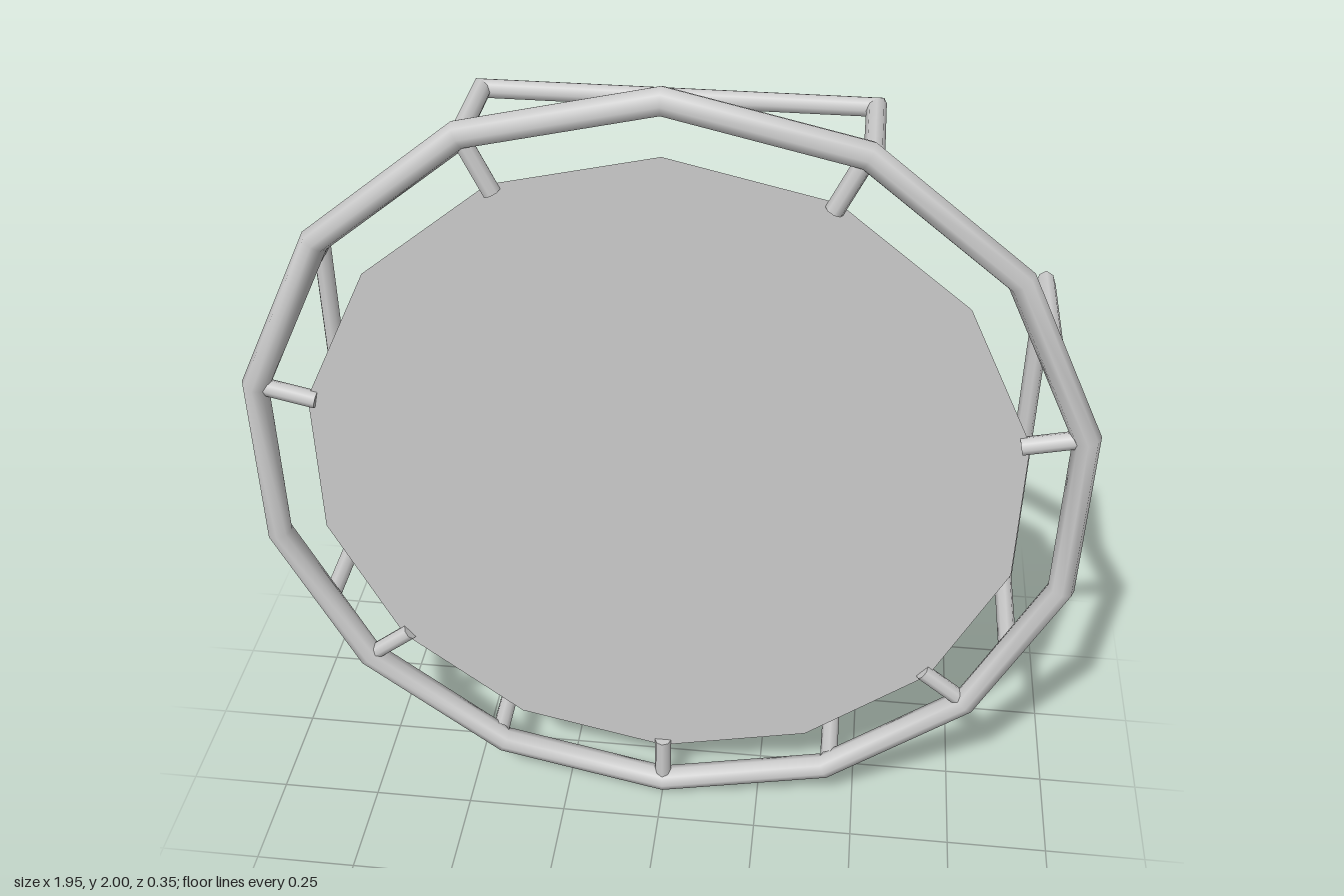
import * as THREE from 'three';

const SIDES = 14;
const RING_Z = 0.14;

export function createModel() {
  const model = new THREE.Group();
  const grey = new THREE.MeshStandardMaterial({ color: 0xcccccc });
  const thin = new THREE.MeshStandardMaterial({ color: 0xcccccc, side: THREE.DoubleSide });

  const add = (parent, name, geometry, material = grey) => {
    const mesh = new THREE.Mesh(geometry, material);
    mesh.name = name;
    parent.add(mesh);
    return mesh;
  };

  // Moves every vertex of a geometry by a rule
  const bend = (geometry, rule) => {
    const p = geometry.attributes.position;
    const v = new THREE.Vector3();
    for (let i = 0; i < p.count; i++) {
      rule(v.fromBufferAttribute(p, i));
      p.setXYZ(i, v.x, v.y, v.z);
    }
    return geometry;
  };

  // Fourteen-sided frame ring with a corner at the top
  const ring = add(model, 'frameRing', new THREE.TorusGeometry(0.968, 0.032, 8, SIDES));
  ring.rotation.z = Math.PI / 2;
  ring.position.set(0, 1, RING_Z);

  // Flat jumping mat
  const mat = add(model, 'mat', new THREE.CircleGeometry(0.845, SIDES), thin);
  mat.rotation.z = Math.PI / 2;
  mat.position.set(0, 1, RING_Z);

  // Seven short struts from ring to mat, starting at the bottom
  for (let i = 0; i < 7; i++) {
    const strut = new THREE.Group();
    strut.name = 'strut';
    strut.position.set(0, 1, RING_Z);
    strut.rotation.z = Math.PI + (i * Math.PI * 2) / 7;
    add(strut, 'strutTube', new THREE.CylinderGeometry(0.021, 0.021, 0.13, 8)).position.y = 0.89;
    model.add(strut);
  }

  // Four U-shaped legs behind the ring, with mitred corners
  const r = 0.022, half = 0.432, back = -0.152, front = 0.135;
  for (let i = 0; i < 4; i++) {
    const leg = new THREE.Group();
    leg.name = 'leg';
    leg.position.y = 1;
    leg.rotation.z = (i * Math.PI) / 2;

    const bar = new THREE.CylinderGeometry(r, r, 2, 8, 1, true).rotateZ(Math.PI / 2);
    bend(bar, (v) => { v.x = Math.sign(v.x) * (half - v.z); });
    add(leg, 'legBar', bar).position.set(0, 0.844, back);

    for (const side of [-1, 1]) {
      const post = new THREE.CylinderGeometry(r, r, 2, 8, 1, true).rotateX(Math.PI / 2);
      bend(post, (v) => { v.z = v.z > 0 ? front : back - side * v.x; });
      add(leg, 'legPost', post).position.set(side * half, 0.844, 0);
    }
    model.add(leg);
  }

  return model;
}
